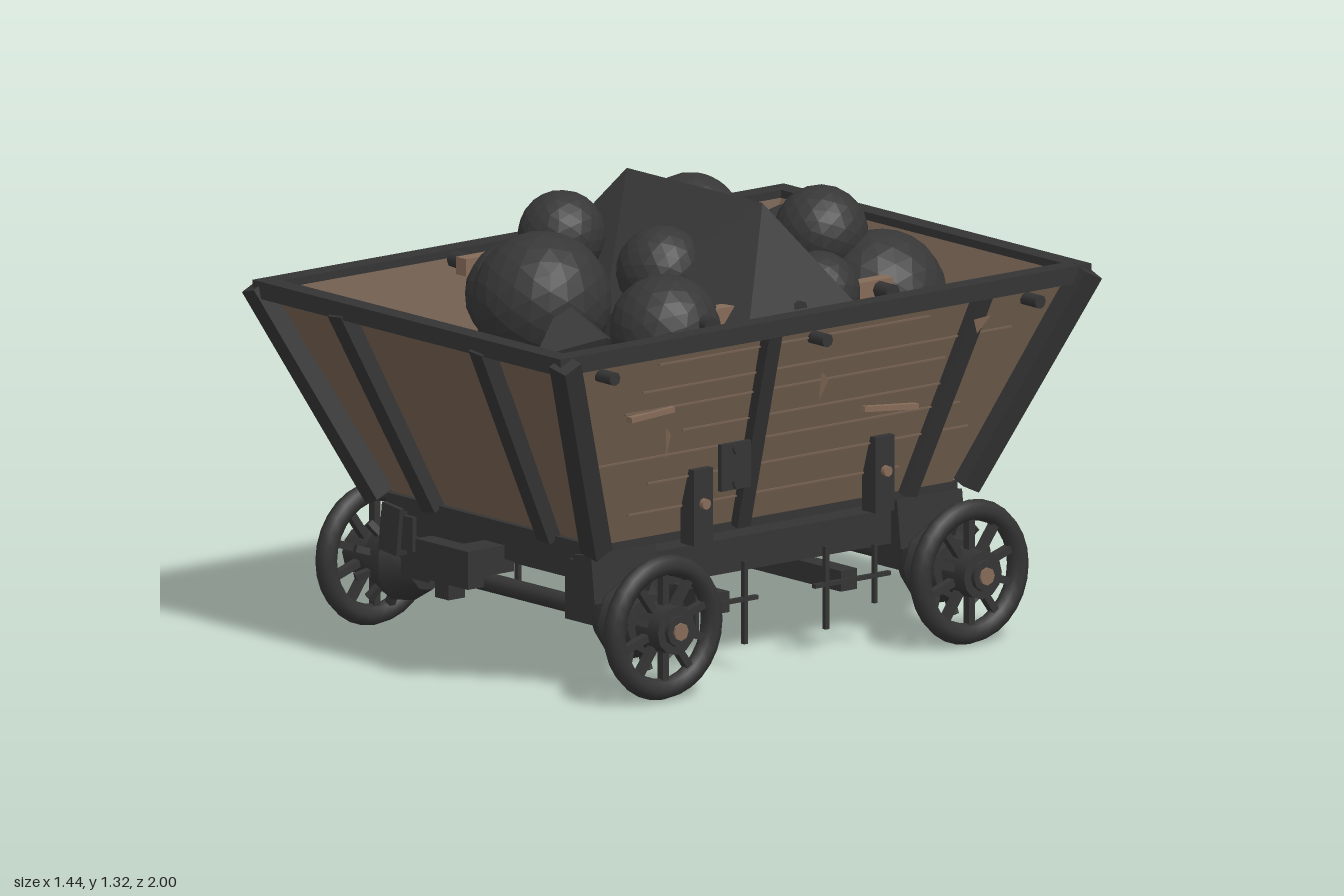
import * as THREE from 'three';

const mat = (name, color) => {
  const m = new THREE.MeshStandardMaterial({ color });
  m.name = name;
  return m;
};

export function createModel() {
  const iron = mat('iron', 0x343434);
  const coal = mat('coal', 0x373737);
  const wood = mat('wood', 0x746051);
  const paleWood = mat('pale wood', 0x856b58);
  const black = mat('floor black', 0x202020);
  coal.flatShading = true;
  paleWood.side = THREE.DoubleSide;
  const model = new THREE.Group();
  model.name = 'coalWagon';
  const V = (x, y, z) => new THREE.Vector3(x, y, z);

  const add = (name, geo, material, x = 0, y = 0, z = 0, parent = model) => {
    const m = new THREE.Mesh(geo, material);
    m.name = name;
    m.position.set(x, y, z);
    parent.add(m);
    return m;
  };
  const box = (name, material, w, h, d, x, y, z, parent) =>
    add(name, new THREE.BoxGeometry(w, h, d), material, x, y, z, parent);
  // Bar between two points; its depth runs along the given normal
  const beam = (name, material, a, b, width, depth, normal) => {
    const dir = b.clone().sub(a);
    const len = dir.length();
    dir.normalize();
    const side = dir.clone().cross(normal).normalize();
    const out = side.clone().cross(dir);
    const geo = new THREE.BoxGeometry(width, len, depth);
    geo.applyMatrix4(new THREE.Matrix4().makeBasis(side, dir, out));
    const c = a.clone().add(b).multiplyScalar(0.5);
    return add(name, geo, material, c.x, c.y, c.z);
  };
  // Cylinder lying along x
  const rod = (name, material, r0, r1, len, sides, x, y, z, parent) =>
    add(name, new THREE.CylinderGeometry(r0, r1, len, sides).rotateZ(-Math.PI / 2), material, x, y, z, parent);
  // Cross-section of the hopper at height y
  const wallX = (y) => 0.46 + 0.18 * (y - 0.43) / 0.6;
  const wallZ = (y) => 0.65 + 0.29 * (y - 0.43) / 0.6;

  // Sloping hopper walls: slab between an outer and an inner quad
  const slab = (name, outer, shift) => {
    const p = [...outer, ...outer.map((v) => v.clone().add(shift))];
    const geo = new THREE.BufferGeometry().setFromPoints(p);
    geo.setIndex([0, 1, 2, 0, 2, 3, 4, 6, 5, 4, 7, 6, 0, 4, 5, 0, 5, 1, 1, 5, 6, 1, 6, 2, 2, 6, 7, 2, 7, 3, 3, 7, 4, 3, 4, 0]);
    const flat = geo.toNonIndexed();
    flat.computeVertexNormals();
    add(name, flat, wood);
  };
  const lo = 0.42, hi = 1.03;
  for (const s of [1, -1]) {
    slab('sideWall', [V(s * wallX(lo), lo, s * wallZ(lo)), V(s * wallX(lo), lo, -s * wallZ(lo)),
      V(s * wallX(hi), hi, -s * wallZ(hi)), V(s * wallX(hi), hi, s * wallZ(hi))], V(-s * 0.02, 0, 0));
    slab('endWall', [V(-s * wallX(lo), lo, s * wallZ(lo)), V(s * wallX(lo), lo, s * wallZ(lo)),
      V(s * wallX(hi), hi, s * wallZ(hi)), V(-s * wallX(hi), hi, s * wallZ(hi))], V(0, 0, -s * 0.02));

    // Rims at the top and bottom of the hopper
    box('sideRim', iron, 0.06, 0.05, 1.96, s * 0.65, 1.028, 0);
    box('endRim', iron, 1.36, 0.05, 0.06, 0, 1.028, s * 0.95);
    box('endSill', iron, 0.92, 0.04, 0.06, 0, 0.41, s * 0.64);
    box('sideSill', iron, 0.04, 0.03, 1.3, s * 0.44, 0.42, 0);

    // Corner posts and wall stiles
    for (const t of [1, -1]) {
      beam('cornerPost', iron, V(s * 0.48, 0.42, t * 0.68), V(s * 0.683, 1.035, t * 0.965), 0.065, 0.065, V(s, 0, 0));
      beam('endStile', iron, V(t * 0.255, 0.42, s * 0.665), V(t * 0.312, 1.02, s * 0.965), 0.058, 0.05, V(0, 0, s));
    }
    beam('sideStile', iron, V(s * 0.465, 0.42, 0.14), V(s * 0.652, 1.02, 0.175), 0.05, 0.04, V(s, 0, 0));
    beam('sideStile', iron, V(s * 0.465, 0.42, -0.475), V(s * 0.652, 1.02, -0.605), 0.05, 0.04, V(s, 0, 0));

    // Plank seams and bolts
    [0.51, 0.6, 0.68, 0.75, 0.83, 0.89, 0.97].forEach((y, i) => {
      const len = 1.0 + (i % 3) * 0.18;
      box('plankSeam', wood, 0.012, 0.005, len, s * wallX(y), y, (i % 2 ? -0.07 : 0.07));
    });
    for (const z of [-0.785, 0, 0.785]) rod('wallBolt', iron, 0.02, 0.02, 0.07, 8, s * 0.653, 0.97, z);

    // Upright brackets with bolts
    for (const z of [-0.335, 0.335]) {
      box('bracket', iron, 0.06, 0.22, 0.07, s * 0.51, 0.51, z);
      rod('bracketBolt', paleWood, 0.016, 0.016, 0.03, 8, s * 0.54, 0.52, z);
    }
    const pz = s > 0 ? 0.325 : -0.2;
    box('latchPlate', iron, 0.016, 0.135, 0.11, s * 0.665, 0.65, pz);
    for (const y of [0.6, 0.7]) rod('latchBolt', iron, 0.016, 0.016, 0.03, 6, s * 0.667, y, pz);

    // Bolts among the coal
    for (const z of [-0.34, 0, 0.33]) rod('innerBolt', iron, 0.025, 0.025, 0.06, 8, s * 0.54, 1.04, z);
  }
  // Boards among the coal: x, z, length
  for (const [x, z, len] of [[-0.477, -0.01, 0.78], [0.477, -0.32, 0.16], [0.477, 0.25, 0.2]])
    box('innerBoard', paleWood, 0.045, 0.05, len, x, 1.04, z);

  // Splinters on the damaged side: thin triangles, then long slivers
  const shards = [
    [V(0.715, 0.81, 0.62), V(0.69, 0.71, 0.6), V(0.63, 0.765, 0.53)],
    [V(0.71, 0.89, 0.04), V(0.69, 0.8, 0.035), V(0.645, 0.845, -0.04)],
    [V(0.675, 0.95, -0.55), V(0.665, 0.905, -0.57), V(0.675, 0.955, -0.615)],
  ];
  for (const corners of shards) {
    const geo = new THREE.BufferGeometry().setFromPoints(corners);
    geo.computeVertexNormals();
    add('splinter', geo, paleWood);
  }
  box('longSplinter', paleWood, 0.03, 0.016, 0.16, 0.585, 0.82, 0.57).rotation.x = 0.06;
  box('longSplinter', paleWood, 0.03, 0.016, 0.2, 0.55, 0.705, -0.34).rotation.x = -0.1;

  // Floor
  box('floor', black, 0.9, 0.025, 1.28, 0, 0.415, 0);
  for (const s of [1, -1]) {
    box('floorPlank', paleWood, 0.64, 0.02, 0.06, 0, 0.435, s * 0.555);
    for (const t of [1, -1]) box('floorBlock', iron, 0.08, 0.05, 0.09, t * 0.39, 0.44, s * 0.555);
  }

  // Underframe
  for (const s of [1, -1]) {
    box('longSill', iron, 0.09, 0.1, 1.34, s * 0.39, 0.325, 0);
    box('headstock', iron, 0.9, 0.09, 0.07, 0, 0.365, s * 0.62);
    box('coupler', iron, 0.23, 0.11, 0.06, 0, 0.325, s * 0.82);
    box('couplerBar', iron, 0.09, 0.08, 0.2, 0, 0.32, s * 0.72);
    box('couplerHook', iron, 0.06, 0.05, 0.06, 0, 0.25, s * 0.82);
    box('crossTie', iron, 1.0, 0.06, 0.06, 0, 0.21, s * 0.235);
    rod('axle', iron, 0.027, 0.027, 1.3, 10, 0, 0.21, s * 0.565);
    for (const t of [1, -1]) {
      box('axleBlock', iron, 0.14, 0.13, 0.16, t * 0.37, 0.255, s * 0.565);
      box('springBlock', iron, 0.08, 0.14, 0.24, t * 0.43, 0.33, s * 0.565).rotation.z = t * 0.12;
      box('brakeRod', iron, 0.012, 0.17, 0.012, t * 0.5, 0.215, s * 0.33);
      box('brakeLever', iron, 0.014, 0.24, 0.014, t * 0.5, 0.2, s * 0.15);
      box('brakeBar', iron, 0.015, 0.012, 0.28, t * 0.5, 0.21, s * 0.245);
    }
  }

  // Spoked wheels with stud-ringed drums behind them
  for (const s of [1, -1]) for (const z of [-0.565, 0.565]) {
    const wheel = new THREE.Group();
    wheel.name = 'wheel';
    wheel.position.set(s * 0.637, 0.21, z);
    wheel.rotation.y = s > 0 ? 0 : Math.PI;
    model.add(wheel);
    add('tyre', new THREE.TorusGeometry(0.179, 0.031, 8, 28).rotateY(Math.PI / 2), iron, 0, 0, 0, wheel);
    rod('hub', iron, 0.07, 0.07, 0.1, 12, 0.01, 0, 0, wheel);
    rod('hubNose', iron, 0.045, 0.045, 0.03, 10, 0.06, 0, 0, wheel);
    rod('hubCap', paleWood, 0.026, 0.026, 0.02, 8, 0.072, 0, 0, wheel);
    rod('drum', iron, 0.09, 0.118, 0.1, 9, -0.1, 0, 0, wheel);
    rod('drumTaper', iron, 0.118, 0.07, 0.09, 9, -0.195, 0, 0, wheel);
    for (let i = 0; i < 10; i++) {
      const a = i * Math.PI / 5;
      const spoke = box('spoke', iron, 0.025, 0.11, 0.022, 0, 0.115 * Math.cos(a), 0.115 * Math.sin(a), wheel);
      spoke.rotation.x = a;
      const stud = box('stud', iron, 0.024, 0.06, 0.02, -0.08, 0.108 * Math.cos(a), 0.108 * Math.sin(a), wheel);
      stud.rotation.set(a, 0, -0.4);
    }
  }

  // Coal lumps: x, y, z, radius
  const lumps = [
    [-0.39, 0.945, -0.53, 0.185], [-0.05, 0.98, -0.51, 0.19], [0.31, 0.965, -0.51, 0.19],
    [0.19, 1.145, -0.39, 0.135], [-0.17, 1.13, -0.21, 0.15], [-0.38, 0.96, -0.16, 0.165],
    [0.43, 1.04, -0.18, 0.12], [-0.34, 0.97, 0.28, 0.155], [-0.14, 1.18, 0.29, 0.125],
    [0.01, 1.04, 0.49, 0.2], [0.39, 1.0, 0.35, 0.16], [0.17, 1.11, 0.18, 0.13], [-0.48, 0.95, -0.16, 0.11],
  ];
  lumps.forEach(([x, y, z, r], i) => {
    const m = add('coalLump', new THREE.IcosahedronGeometry(r, 3), coal, x, y, z);
    m.rotation.set(i, i * 1.7, i * 0.6);
  });
  // Large faceted block: ridge on top, shoulders raised, cut off above the floor
  const block = new THREE.IcosahedronGeometry(1, 0).scale(0.57, 0.59, 0.39);
  const bp = block.attributes.position;
  for (let i = 0; i < bp.count; i++) {
    const y = bp.getY(i);
    if (Math.abs(y) < 0.01) bp.setY(i, 0.2);
    else if (y > 0 && y < 0.4) bp.setY(i, 0.18);
    else if (y < 0) bp.setY(i, Math.max(y, -0.36));
  }
  block.computeVertexNormals();
  add('coalBlock', block, coal, 0.1, 1.32 - 0.59 * 0.851, 0);
  // Small angular pieces
  [[0.22, 0.94, 0.54, 0.15], [-0.28, 0.96, -0.34, 0.13], [-0.5, 0.9, 0.14, 0.09], [-0.2, 0.92, 0.1, 0.17]]
    .forEach(([x, y, z, r], i) => {
      add('coalChip', new THREE.OctahedronGeometry(r, 0), coal, x, y, z).rotation.set(i * 1.3, i, 0.4);
    });

  return model;
}
